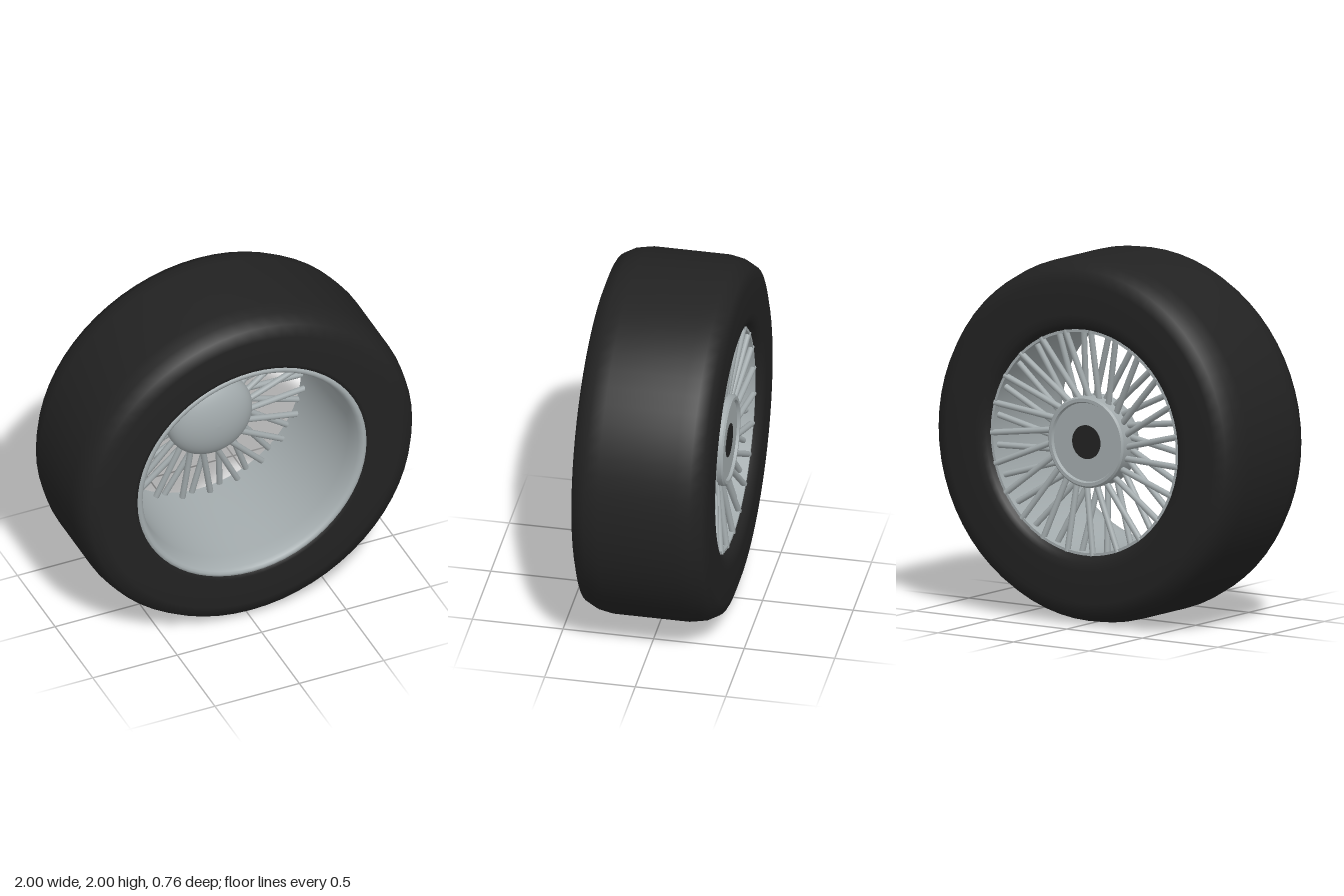
import * as THREE from 'three';
import { toCreasedNormals } from 'three/addons/utils/BufferGeometryUtils.js';

const SEGMENTS = 64;
const SPOKE_PAIRS = 23;

// Turned part around the z axis from [radius, z] points.
function turned(points, crease) {
  const g = new THREE.LatheGeometry(points.map(([r, z]) => new THREE.Vector2(r, z)), SEGMENTS);
  g.rotateX(Math.PI / 2);
  return crease ? toCreasedNormals(g, crease) : g;
}

// Point on a circle about the axle.
const polar = (r, a, z) => new THREE.Vector3(r * Math.cos(a), r * Math.sin(a), z);

export function createModel() {
  const rubber = new THREE.MeshStandardMaterial({ color: 0x222222 });
  rubber.name = 'black rubber';
  const metal = new THREE.MeshStandardMaterial({ color: 0xa3abad });
  metal.name = 'silver metal';

  const wheel = new THREE.Group();
  wheel.name = 'wheel';
  wheel.position.y = 1;
  const add = (geometry, material, name, parent = wheel) => {
    const mesh = new THREE.Mesh(geometry, material);
    mesh.name = name;
    parent.add(mesh);
    return mesh;
  };

  // Tyre with flat sidewalls and rounded shoulders
  add(turned([
    [0.615, -0.325], [0.635, -0.355], [0.66, -0.372], [0.70, -0.377], [0.88, -0.377],
    [0.95, -0.355], [0.985, -0.29], [1, -0.21], [1, 0], [1, 0.21], [0.985, 0.29],
    [0.95, 0.355], [0.88, 0.377], [0.70, 0.377], [0.67, 0.37], [0.65, 0.3],
  ]), rubber, 'tyre');

  // Deep rim barrel with a rounded front lip
  add(turned([
    [0.605, -0.335], [0.62, -0.335], [0.65, 0.3], [0.678, 0.35], [0.68, 0.37], [0.672, 0.379],
    [0.66, 0.38], [0.648, 0.372], [0.638, 0.35], [0.628, 0.31], [0.622, 0.26], [0.605, -0.335],
  ], 0.8), metal, 'rim');

  // Hub drum with a raised edge on its back face
  add(turned([
    [0.09, -0.315], [0.215, -0.315], [0.222, -0.33], [0.24, -0.33], [0.25, -0.32], [0.25, -0.2],
  ], 0.6), metal, 'hub');

  // Domed front cap
  const dome = [];
  for (let i = 0; i <= 12; i++) {
    const t = (i / 12) * Math.PI / 2;
    dome.push([i === 12 ? 0 : 0.25 * Math.cos(t), -0.2 + 0.13 * Math.sin(t)]);
  }
  add(turned(dome), metal, 'hubCap');

  // Dark axle bore in the back of the hub
  add(new THREE.CylinderGeometry(0.093, 0.093, 0.008, 32).rotateX(Math.PI / 2), rubber, 'axleBore')
    .position.z = -0.314;

  // Crossed spokes, one leaning each way in every pair
  const spokes = new THREE.Group();
  spokes.name = 'spokes';
  wheel.add(spokes);
  const up = new THREE.Vector3(0, 1, 0);
  for (let i = 0; i < SPOKE_PAIRS; i++) {
    const angle = -Math.PI / 2 + (i / SPOKE_PAIRS) * Math.PI * 2;
    for (const side of [-1, 1]) {
      const inner = polar(0.23, angle - side * 0.115, side > 0 ? -0.235 : -0.275);
      const outer = polar(0.622, angle + side * 0.08, side > 0 ? -0.29 : -0.325);
      const dir = outer.clone().sub(inner);
      const spoke = add(new THREE.CylinderGeometry(0.017, 0.017, dir.length(), 10), metal, 'spoke', spokes);
      spoke.position.copy(inner).add(outer).multiplyScalar(0.5);
      spoke.quaternion.setFromUnitVectors(up, dir.normalize());
    }
  }

  const model = new THREE.Group();
  model.name = 'wireWheel';
  model.add(wheel);
  return model;
}
